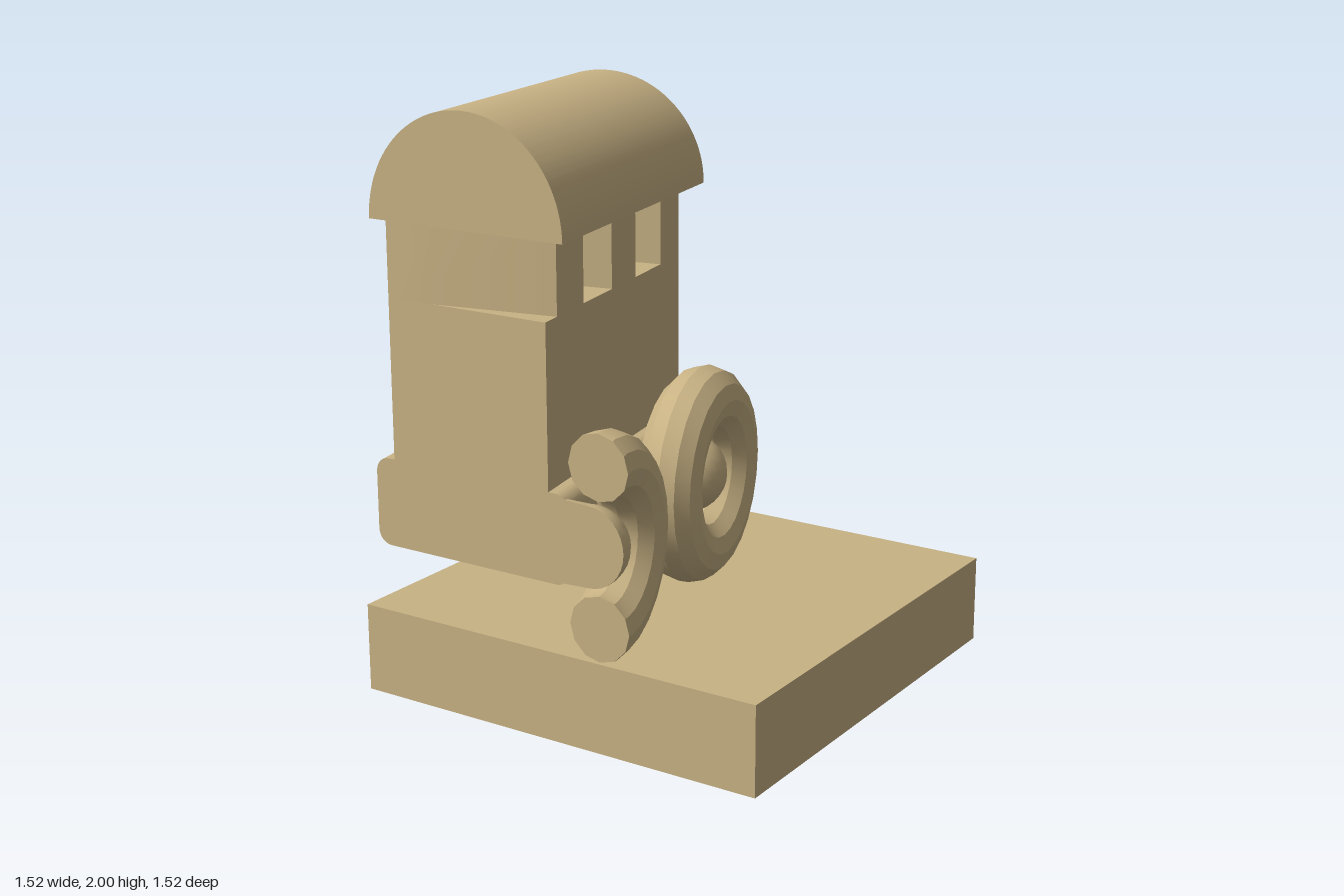
import * as THREE from 'three';
import { toCreasedNormals } from 'three/addons/utils/BufferGeometryUtils.js';
import { RoundedBoxGeometry } from 'three/addons/geometries/RoundedBoxGeometry.js';

const EDGE = 0.76; // half width of the square plinth; the wagon is sliced flush with it

// Keep the part of a closed triangle soup where n.p <= c, and cap every cut loop.
function slice(tris, n, c) {
  const out = [], next = new Map();
  const key = (p) => p.toArray().map((v) => Math.round(v * 1e5)).join();
  for (const tri of tris) {
    const poly = [];
    let exit = null, entry = null;
    for (let i = 0; i < 3; i++) {
      const a = tri[i], b = tri[(i + 1) % 3];
      const da = n.dot(a) - c, db = n.dot(b) - c;
      if (da <= 0) poly.push(a);
      if ((da <= 0) !== (db <= 0)) {
        // interpolate from the inner end so neighbours share the same point
        const p = da <= 0 ? a.clone().lerp(b, da / (da - db)) : b.clone().lerp(a, db / (db - da));
        poly.push(p);
        if (da <= 0) exit = p; else entry = p;
      }
    }
    for (let i = 2; i < poly.length; i++) out.push([poly[0], poly[i - 1], poly[i]]);
    if (exit && key(exit) !== key(entry)) next.set(key(entry), [entry, exit]);
  }
  while (next.size) {
    const loop = [];
    let k = next.keys().next().value;
    while (next.has(k)) {
      const seg = next.get(k);
      next.delete(k);
      loop.push(seg);
      k = key(seg[1]);
    }
    const mid = new THREE.Vector3();
    loop.forEach((s) => mid.addScaledVector(s[0], 1 / loop.length));
    loop.forEach((s) => out.push([s[0], s[1], mid]));
  }
  return out;
}

export function createModel() {
  const model = new THREE.Group();
  model.name = 'wagonOnPlinth';
  const tan = new THREE.MeshStandardMaterial({ color: 0xc8b284 });
  tan.name = 'tan';

  // Wagon frame: local z runs along the wagon, local x across it
  const frame = new THREE.Matrix4().makeRotationY(0.185).setPosition(-0.308, 0, 0.76);

  function add(name, geo, crease = 0.4) {
    const mesh = new THREE.Mesh(toCreasedNormals(geo, crease), tan);
    mesh.name = name;
    model.add(mesh);
  }

  // Place a part in the wagon frame and slice it at the plinth edges
  function addSliced(name, geo, crease) {
    const g = (geo.index ? geo.toNonIndexed() : geo).applyMatrix4(frame);
    const pos = g.attributes.position;
    let tris = [];
    for (let i = 0; i < pos.count; i += 3) {
      tris.push([0, 1, 2].map((j) => new THREE.Vector3().fromBufferAttribute(pos, i + j)));
    }
    tris = slice(tris, new THREE.Vector3(0, 0, 1), EDGE);
    tris = slice(tris, new THREE.Vector3(-1, 0, 0), EDGE);
    if (!tris.length) return;
    add(name, new THREE.BufferGeometry().setFromPoints(tris.flat()), crease);
  }

  const box = (w, y0, y1, z0, z1) =>
    new THREE.BoxGeometry(w, y1 - y0, z1 - z0).translate(0, (y0 + y1) / 2, (z0 + z1) / 2);

  // Plinth
  add('plinth', new THREE.BoxGeometry(2 * EDGE, 0.305, 2 * EDGE).translate(0, 0.1525, 0));

  // Chassis
  addSliced('chassis', new RoundedBoxGeometry(0.76, 0.3, 1.7, 4, 0.05).translate(0, 0.688, -0.34), 0.6);

  // Cabin with open windows between the posts
  addSliced('cabinWalls', box(0.61, 0.82, 1.38, -1.005, 0.4));
  for (const [z0, z1] of [[-1.005, -0.843], [-0.63, -0.438], [-0.22, -0.025], [0.19, 0.4]]) {
    addSliced('windowPost', box(0.61, 1.38, 1.632, z0, z1));
  }

  // Barrel roof
  const arch = new THREE.Shape();
  arch.absarc(0, 0, 0.372, 0, Math.PI, false);
  arch.closePath();
  const roof = new THREE.ExtrudeGeometry(arch, { depth: 1.5, bevelEnabled: false, curveSegments: 24 });
  addSliced('roof', roof.translate(0, 1.629, -1.07));

  // Wheels, each with a stub axle and a domed hub
  for (const z of [-0.737, 0.085]) {
    addSliced('wheel', new THREE.TorusGeometry(0.265, 0.11, 12, 24)
      .rotateY(Math.PI / 2).translate(0.491, 0.686, z));
    addSliced('axle', new THREE.CylinderGeometry(0.135, 0.145, 0.16, 24)
      .rotateZ(-Math.PI / 2).translate(0.37, 0.686, z));
    addSliced('hub', new THREE.SphereGeometry(0.135, 24, 16).translate(0.45, 0.686, z));
  }

  // Rear coupling: a flat rounded tongue with a flared root and a small knob underneath
  const tongue = new THREE.SphereGeometry(1, 32, 16);
  const p = tongue.attributes.position;
  for (let i = 0; i < p.count; i++) {
    const x = p.getX(i), y = p.getY(i), z = p.getZ(i);
    const flare = 1 + 0.35 * Math.max(0, z + 0.35);
    p.setXYZ(i, x * 0.165 * flare, 0.73 - 0.012 * z + y * 0.055, -1.205 + z * 0.22);
  }
  addSliced('couplingTongue', tongue, 0.6);
  addSliced('couplingKnob', new THREE.SphereGeometry(0.05, 16, 12).translate(0, 0.667, -1.315), 0.6);

  return model;
}
